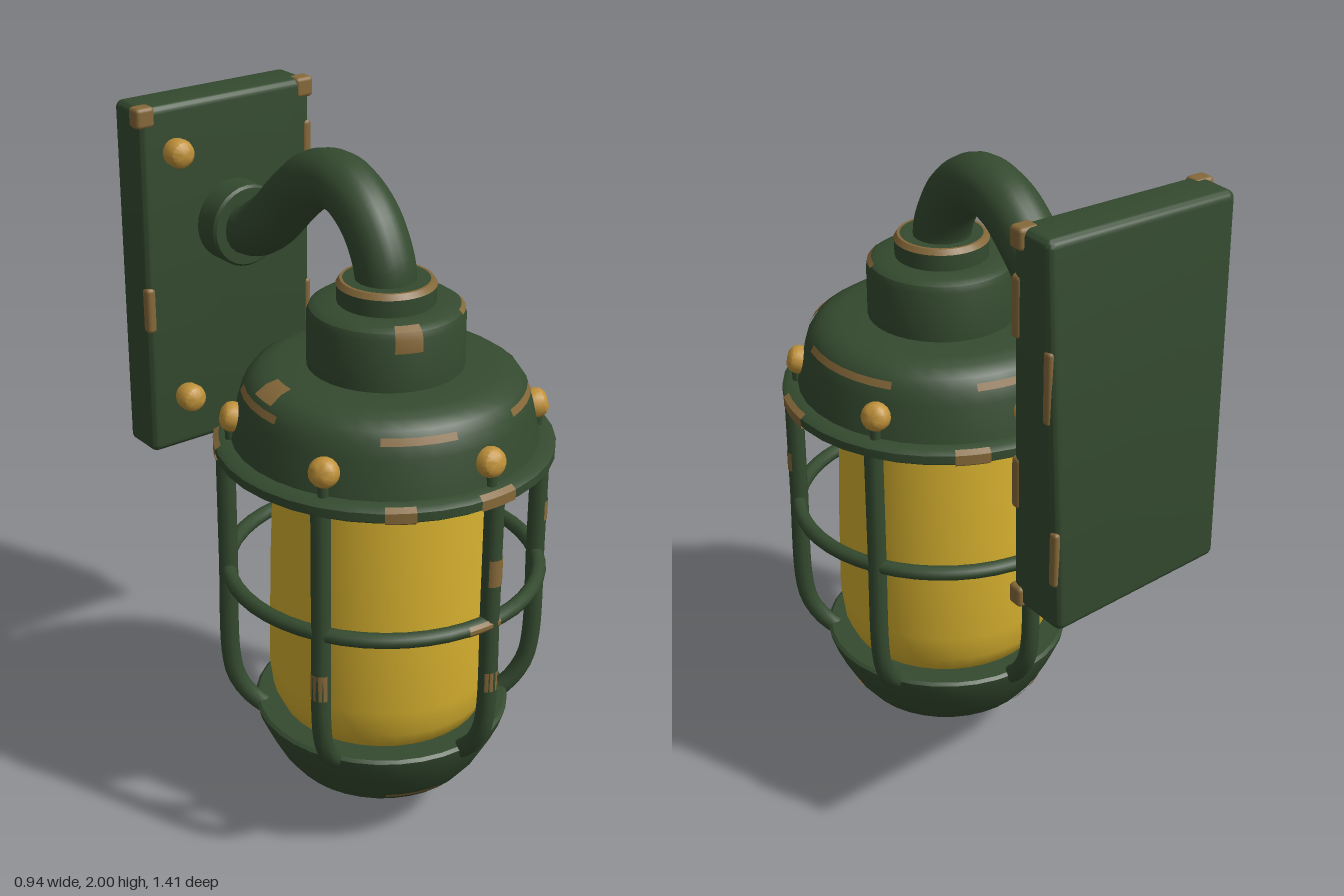
import * as THREE from 'three';
import { toCreasedNormals } from 'three/addons/utils/BufferGeometryUtils.js';
import { RoundedBoxGeometry } from 'three/addons/geometries/RoundedBoxGeometry.js';

const mat = (name, color, side = THREE.FrontSide) => {
  const m = new THREE.MeshStandardMaterial({ color, side });
  m.name = name;
  return m;
};
const rad = THREE.MathUtils.degToRad;
const lerp = THREE.MathUtils.lerp;

export function createModel() {
  const green = mat('green paint', 0x344a2f);
  const yellow = mat('amber glass', 0xd6b02f);
  const brass = mat('brass', 0xc0923a);
  const worn = mat('worn edge', 0x86693a, THREE.DoubleSide);

  const root = new THREE.Group();
  root.name = 'wallLantern';
  const lamp = new THREE.Group();
  lamp.name = 'lamp';
  lamp.position.z = 0.235;
  root.add(lamp);

  const add = (parent, name, geometry, material) => {
    const m = new THREE.Mesh(geometry, material);
    m.name = name;
    parent.add(m);
    return m;
  };
  // Turned part: profile of [radius, y] from bottom to top
  const turned = (pts, seg = 36, start = 0, len = Math.PI * 2) =>
    toCreasedNormals(new THREE.LatheGeometry(pts.map(p => new THREE.Vector2(...p)), seg, start, len), 0.6);

  // Hood with rim, dome, drum and collar
  add(lamp, 'hood', turned([
    [0.0, 1.17], [0.455, 1.17], [0.47, 1.18], [0.47, 1.205], [0.455, 1.215], [0.425, 1.217],
    [0.418, 1.25], [0.402, 1.32], [0.39, 1.36], [0.37, 1.39], [0.34, 1.41], [0.3, 1.42], [0.215, 1.425],
    [0.215, 1.57], [0.208, 1.588], [0.19, 1.6], [0.134, 1.602], [0.134, 1.652], [0.125, 1.662], [0, 1.662],
  ]), green);

  // Glass
  add(lamp, 'glass', turned([
    [0.26, 0.34], [0.295, 0.37], [0.318, 0.42], [0.328, 0.5], [0.322, 0.8], [0.307, 1.18],
  ]), yellow);

  // Lower cup and finial
  add(lamp, 'lowerCup', turned([
    [0, 0.108], [0.155, 0.11], [0.215, 0.13], [0.27, 0.17], [0.305, 0.215], [0.34, 0.28],
    [0.365, 0.335], [0.371, 0.36], [0.362, 0.368], [0.25, 0.368],
  ]), green);
  add(lamp, 'finial', turned([
    [0, 0], [0.045, 0], [0.055, 0.01], [0.055, 0.05], [0.09, 0.055], [0.1, 0.065], [0.1, 0.115],
  ], 24), green);

  // Guard: middle hoop and six bars bending in to the cup
  const hoop = add(lamp, 'guardHoop', new THREE.TorusGeometry(0.441, 0.022, 10, 48), green);
  hoop.rotation.x = Math.PI / 2;
  hoop.position.y = 0.81;

  const barPath = new THREE.CatmullRomCurve3([
    [1.19, 0.44], [0.85, 0.44], [0.53, 0.44], [0.45, 0.425], [0.385, 0.388], [0.335, 0.335], [0.32, 0.315],
  ].map(([y, r]) => new THREE.Vector3(0, y, r)));
  const barGeo = new THREE.TubeGeometry(barPath, 28, 0.027, 10);

  const boltGeo = turned([
    [0.03, -0.02], [0.04, 0], [0.042, 0.03], [0.036, 0.046], [0.022, 0.056], [0, 0.059],
  ], 16);
  for (const deg of [2.5, 59, 120, 180, -120, -60]) {
    const arm = new THREE.Group();
    arm.name = 'guardPost';
    arm.rotation.y = rad(deg);
    lamp.add(arm);
    add(arm, 'guardBar', barGeo, green);
    const bolt = add(arm, 'hoodBolt', boltGeo, brass);
    bolt.position.set(0, 1.275, 0.395);
    bolt.rotation.x = rad(76);
    const stem = add(arm, 'boltStem', new THREE.CylinderGeometry(0.015, 0.015, 0.06, 8), green);
    stem.position.set(0, 1.235, 0.425);
  }

  // Swan-neck arm
  const neck = new THREE.CatmullRomCurve3([
    [1.63, 0.235], [1.7, 0.224], [1.8, 0.165], [1.86, 0.08], [1.873, 0.01], [1.847, -0.09],
    [1.775, -0.185], [1.69, -0.275], [1.635, -0.36], [1.62, -0.44],
  ].map(([y, z]) => new THREE.Vector3(0, y, z)));
  add(root, 'arm', new THREE.TubeGeometry(neck, 48, 0.083, 20), green);

  // Wall flange
  const flange = add(root, 'wallFlange', turned([
    [0.122, -0.02], [0.122, 0.075], [0.115, 0.083], [0, 0.083],
  ], 28), green);
  flange.rotation.x = Math.PI / 2;
  flange.position.set(0, 1.625, -0.49);

  // Back plate, its rear face skewed towards the lower left corner
  const W = 0.58, H = 1.06, D = 0.15;
  const plateGeo = new RoundedBoxGeometry(W, H, D, 3, 0.022);
  const p = plateGeo.attributes.position;
  for (let i = 0; i < p.count; i++) {
    const u = p.getX(i) / W + 0.5, down = 0.5 - p.getY(i) / H, t = 0.5 - p.getZ(i) / D;
    const front = -0.49 - 0.01 * down;
    const back = -0.635 - down * lerp(0.005, 0.07, u);
    p.setZ(i, lerp(front, back, t));
  }
  const plate = add(root, 'backPlate', toCreasedNormals(plateGeo, 0.6), green);
  plate.position.set(-0.01, 1.47, 0);

  // Plate bolts
  for (const [x, y] of [[-0.195, 1.865], [-0.185, 1.11]]) {
    const b = add(root, 'plateBolt', boltGeo, brass);
    b.rotation.x = Math.PI / 2;
    b.position.set(x, y, -0.485);
  }

  // Worn corners and edges of the plate: [x, y, z, width, height, depth]
  for (const [x, y, z, w, h, d] of [
    [0.262, 1.973, -0.513, 0.06, 0.06, 0.05], [-0.282, 1.973, -0.513, 0.06, 0.06, 0.05],
    [0.265, 0.967, -0.523, 0.055, 0.06, 0.05], [0.27, 1.79, -0.506, 0.03, 0.17, 0.036],
    [0.272, 1.3, -0.511, 0.024, 0.15, 0.036], [0.274, 1.62, -0.635, 0.02, 0.2, 0.03],
    [0.274, 1.15, -0.672, 0.02, 0.16, 0.03], [-0.288, 1.4, -0.508, 0.03, 0.14, 0.035],
  ]) {
    add(root, 'plateWear', new RoundedBoxGeometry(w, h, d, 2, 0.012), worn).position.set(x, y, z);
  }

  // Worn paint on turned parts: thin shells [start degrees, sweep degrees, profile]
  const rim = [[0.457, 1.167], [0.473, 1.178], [0.473, 1.207], [0.457, 1.218]];
  const ridge = [[0.395, 1.358], [0.385, 1.377]];
  for (const [start, sweep, prof] of [
    [-6, 14, rim], [-38, 10, rim], [70, 18, rim], [150, 12, rim], [-130, 16, rim],
    [-40, 30, ridge], [20, 28, ridge], [75, 50, ridge], [160, 30, ridge], [-120, 35, ridge],
    [-105, 14, [[0.375, 1.39], [0.343, 1.413], [0.31, 1.422]]],
    [0, 360, [[0.136, 1.65], [0.126, 1.665], [0.118, 1.665]]],
    [-32, 20, [[0.218, 1.535], [0.218, 1.571], [0.21, 1.591], [0.19, 1.603]]],
    [35, 40, [[0.212, 1.585], [0.2, 1.597]]],
    [-35, 32, [[0.293, 0.192], [0.304, 0.207]]], [60, 24, [[0.293, 0.192], [0.304, 0.207]]],
    [-170, 40, [[0.293, 0.192], [0.304, 0.207]]],
  ]) {
    add(lamp, 'paintWear', turned(prof, Math.max(3, Math.round(sweep / 8)), rad(start), rad(sweep)), worn);
  }

  // Worn paint on bars and hoop
  for (const [deg, y, h] of [[2.5, 0.97, 0.08], [2.5, 0.63, 0.06], [-60, 0.65, 0.08], [59, 0.95, 0.06]]) {
    const chip = add(lamp, 'barWear', new THREE.CylinderGeometry(0.029, 0.029, h, 10, 1, true, -1, 2), worn);
    chip.position.set(0.44 * Math.sin(rad(deg)), y, 0.44 * Math.cos(rad(deg)));
    chip.rotation.y = rad(deg);
  }
  add(lamp, 'hoopWear', turned([[0.458, 0.795], [0.465, 0.805], [0.465, 0.816], [0.457, 0.826]], 3, rad(-8), rad(13)), worn);

  return root;
}
